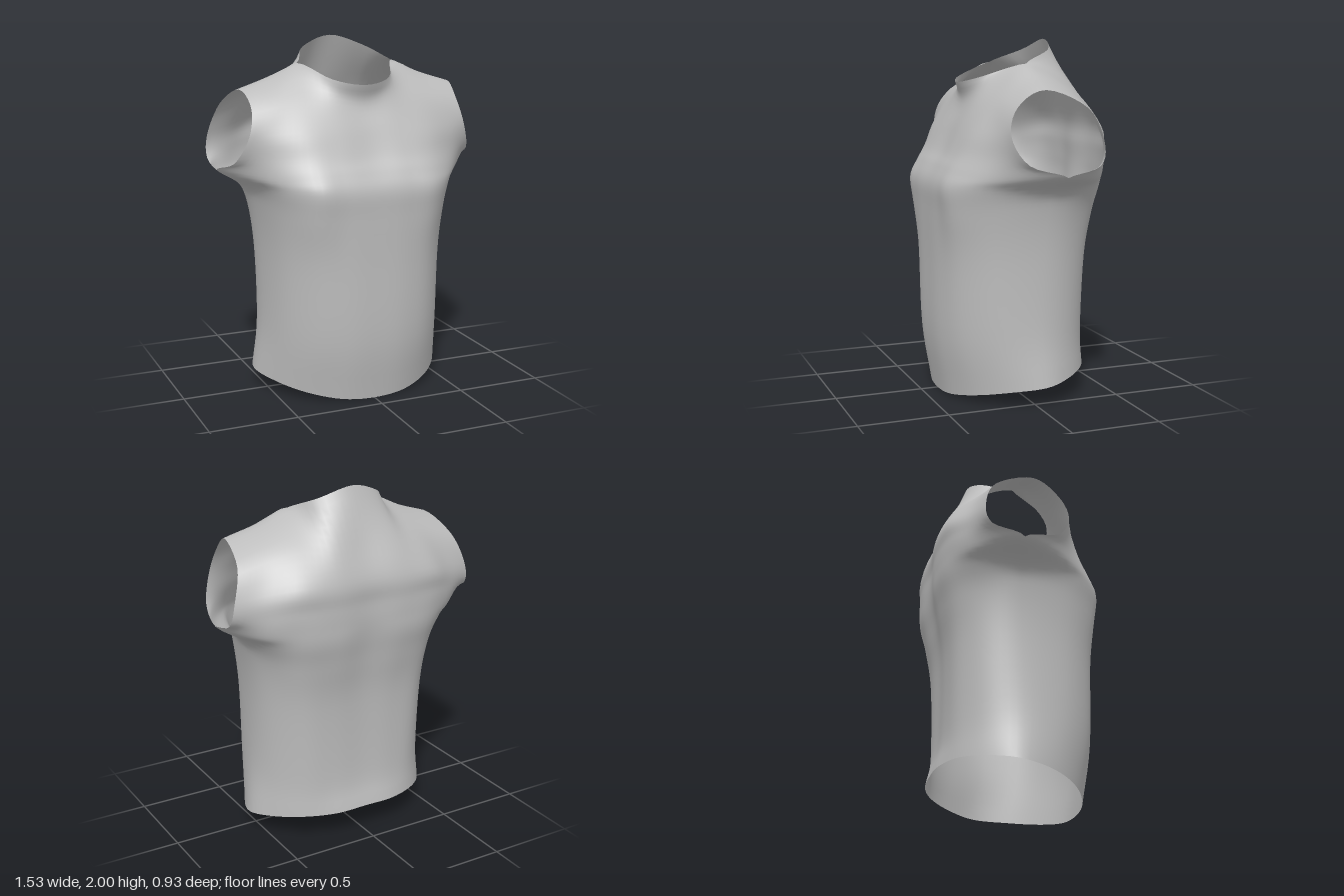
import * as THREE from 'three';
import { mergeVertices } from 'three/addons/utils/BufferGeometryUtils.js';

// Left half of the garment: rows run from hem to shoulder, columns from centre to side.
const ARMPIT = 5, TOP = 9, SIDE = 4, NECK = 2, STEPS = 5;

// Side seam from hem to armpit, shared by front and back
const sideSeam = [
  [0.565, 0.11, -0.05], [0.53, 0.4, -0.03], [0.53, 0.8, -0.04],
  [0.56, 1.07, -0.05], [0.61, 1.19, -0.06], [0.75, 1.285, -0.08],
];
// Shoulder seam from neck to armhole, shared by front and back
const shoulderSeam = [[0.29, 1.865, -0.03], [0.45, 1.795, -0.02], [0.64, 1.735, 0]];

const front = [
  [[0, 0.003, 0.4], [0.19, 0.015, 0.38], [0.37, 0.05, 0.29], [0.5, 0.085, 0.14]],
  [[0, 0.35, 0.45], [0.18, 0.35, 0.435], [0.35, 0.36, 0.36], [0.48, 0.38, 0.2]],
  [[0, 0.8, 0.455], [0.18, 0.8, 0.445], [0.35, 0.8, 0.385], [0.48, 0.8, 0.22]],
  [[0, 1.05, 0.46], [0.18, 1.05, 0.455], [0.36, 1.05, 0.42], [0.5, 1.06, 0.24]],
  [[0, 1.2, 0.46], [0.19, 1.2, 0.46], [0.36, 1.2, 0.44], [0.52, 1.2, 0.27]],
  [[0, 1.3, 0.415], [0.19, 1.3, 0.42], [0.37, 1.29, 0.4], [0.56, 1.27, 0.25]],
  [[0, 1.38, 0.36], [0.19, 1.38, 0.37], [0.37, 1.38, 0.35], [0.55, 1.37, 0.25], [0.71, 1.35, 0.12]],
  [[0, 1.52, 0.3], [0.18, 1.52, 0.305], [0.36, 1.52, 0.29], [0.52, 1.51, 0.24], [0.65, 1.5, 0.2]],
  [[0, 1.66, 0.243], [0.17, 1.69, 0.222], [0.32, 1.72, 0.16], [0.48, 1.68, 0.16], [0.62, 1.65, 0.15]],
  [[0, 1.76, 0.27], [0.17, 1.79, 0.2]],
];
const back = [
  [[0, 0.165, -0.42], [0.19, 0.16, -0.41], [0.37, 0.155, -0.34], [0.5, 0.135, -0.21]],
  [[0, 0.36, -0.38], [0.18, 0.36, -0.38], [0.35, 0.37, -0.34], [0.48, 0.38, -0.21]],
  [[0, 0.8, -0.38], [0.19, 0.8, -0.385], [0.37, 0.8, -0.35], [0.49, 0.8, -0.22]],
  [[0, 1.05, -0.41], [0.2, 1.05, -0.425], [0.4, 1.05, -0.38], [0.52, 1.06, -0.24]],
  [[0, 1.2, -0.435], [0.2, 1.2, -0.455], [0.41, 1.2, -0.42], [0.56, 1.2, -0.29]],
  [[0, 1.3, -0.445], [0.2, 1.3, -0.46], [0.42, 1.3, -0.43], [0.62, 1.27, -0.31]],
  [[0, 1.4, -0.445], [0.21, 1.4, -0.46], [0.43, 1.4, -0.43], [0.61, 1.37, -0.345], [0.755, 1.34, -0.26]],
  [[0, 1.53, -0.445], [0.21, 1.53, -0.455], [0.41, 1.53, -0.425], [0.58, 1.5, -0.34], [0.735, 1.47, -0.29]],
  [[0, 1.73, -0.355], [0.19, 1.72, -0.365], [0.34, 1.73, -0.28], [0.51, 1.69, -0.24], [0.68, 1.64, -0.22]],
  [[0, 2, -0.25], [0.19, 1.94, -0.2]],
];

// Add the shared seams to a panel
const withSeams = (panel) => panel.map((row, r) => {
  if (r <= ARMPIT) return [...row, sideSeam[r]];
  return r === TOP ? [...row, ...shoulderSeam] : row;
});

const beyond = (a, b) => a.map((v, k) => 2 * v - b[k]);

// Control point, continued past the centre line, the seams and the open edges
function control(panel, other, r, c) {
  if (c < 0) {
    const [x, y, z] = control(panel, other, r, -c);
    return [-x, y, z];
  }
  if (r < 0) return beyond(control(panel, other, 0, c), control(panel, other, 1, c));
  if (r > TOP) {
    if (c >= NECK && c <= SIDE) return other[TOP - 1][c];
    return beyond(control(panel, other, TOP, c), control(panel, other, TOP - 1, c));
  }
  if (c > SIDE) return r <= ARMPIT ? other[r][SIDE - 1] : beyond(panel[r][SIDE], panel[r][SIDE - 1]);
  return panel[r][c];
}

// Smooth curve through b and c
const spline = (a, b, c, d, t) => b.map((v, k) => v + 0.5 * t * (c[k] - a[k]
  + t * (2 * a[k] - 5 * v + 4 * c[k] - d[k] + t * (3 * (v - c[k]) + d[k] - a[k]))));

function surfacePoint(panel, other, u, v) {
  const c = Math.min(Math.floor(u), SIDE - 1), r = Math.min(Math.floor(v), TOP - 1);
  const around = [-1, 0, 1, 2];
  const across = around.map((i) =>
    spline(...around.map((j) => control(panel, other, r + i, c + j)), u - c));
  return spline(...across, v - r);
}

function shirtGeometry() {
  const panels = [withSeams(front), withSeams(back)];
  const cols = SIDE * STEPS, rows = TOP * STEPS, width = 2 * cols + 1;
  const positions = [], index = [];

  panels.forEach((panel, side) => {
    const other = panels[1 - side], start = positions.length / 3;
    for (let i = 0; i <= rows; i++) {
      for (let j = -cols; j <= cols; j++) {
        const u = Math.abs(j) / STEPS, v = i / STEPS;
        let p = surfacePoint(panel, other, u, v);
        // Both panels meet exactly along the seams
        if ((u === SIDE && v <= ARMPIT) || (v === TOP && u >= NECK)) {
          const q = surfacePoint(other, panel, u, v);
          p = p.map((value, k) => (value + q[k]) / 2);
        }
        positions.push(j < 0 ? -p[0] : p[0], p[1], p[2]);
      }
    }
    for (let i = 0; i < rows; i++) {
      for (let j = 0; j < width - 1; j++) {
        const a = start + i * width + j, b = a + 1, c = b + width, d = a + width;
        if (side === 0) index.push(a, b, c, a, c, d);
        else index.push(a, c, b, a, d, c);
      }
    }
  });

  const geometry = new THREE.BufferGeometry();
  geometry.setAttribute('position', new THREE.Float32BufferAttribute(positions, 3));
  geometry.setIndex(index);
  const welded = mergeVertices(geometry, 1e-4);
  welded.computeVertexNormals();
  return welded;
}

export function createModel() {
  const cloth = new THREE.MeshStandardMaterial({ color: 0xbcbcbc, side: THREE.DoubleSide });
  cloth.name = 'grey cloth';

  // Open shell with hem, neck and two short sleeve openings
  const shirt = new THREE.Mesh(shirtGeometry(), cloth);
  shirt.name = 'shirt';

  const model = new THREE.Group();
  model.name = 'short sleeved top';
  model.add(shirt);
  return model;
}
